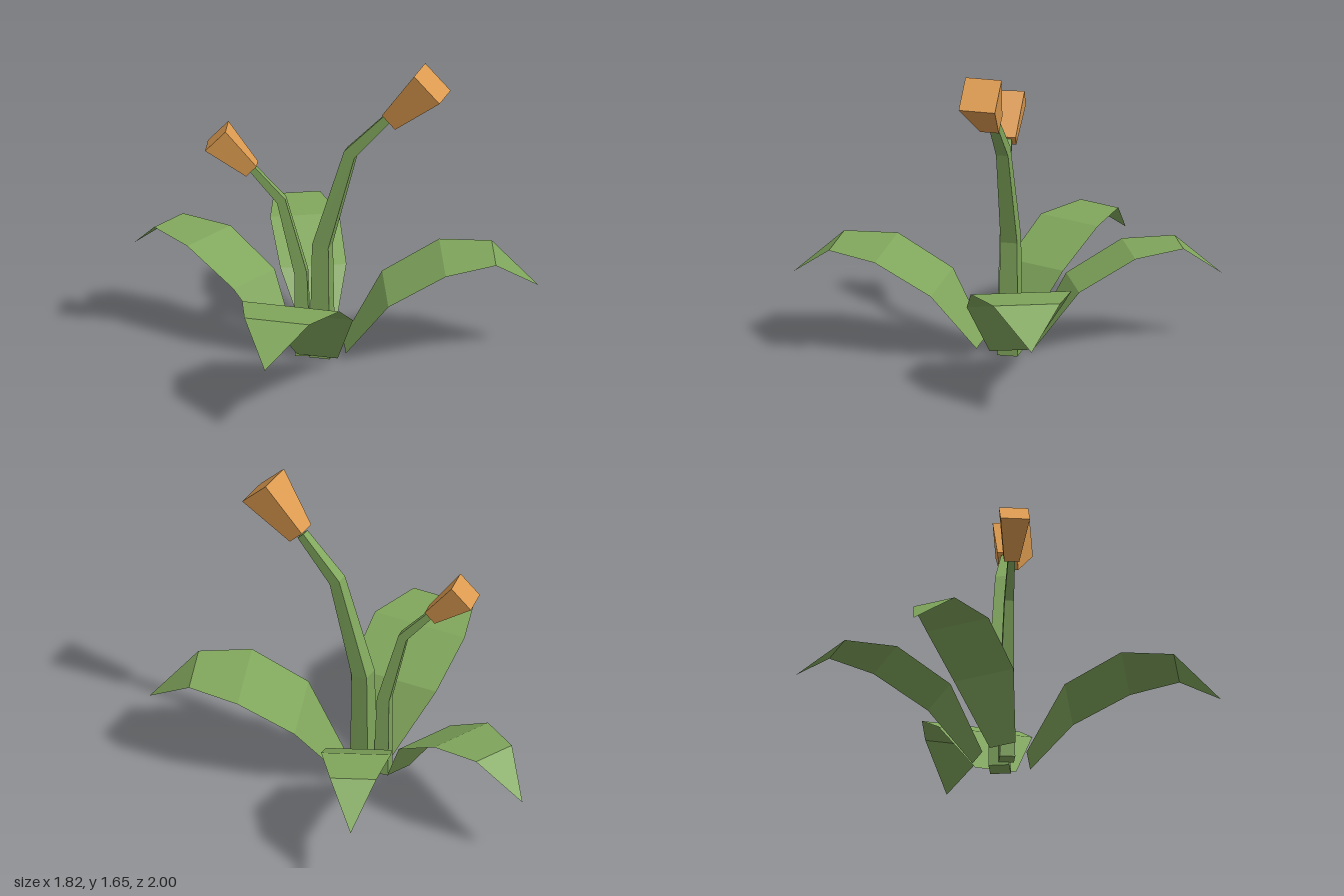
import * as THREE from 'three';

const green = new THREE.MeshStandardMaterial({ color: 0x80a65c, flatShading: true });
green.name = 'leafGreen';
const leafMaterial = green;
leafMaterial.side = THREE.DoubleSide;
const orange = new THREE.MeshStandardMaterial({ color: 0xdd9b50, flatShading: true });
orange.name = 'budOrange';

// Unshared triangles give every face its own flat normal
function facetGeometry(points, faces) {
  const position = faces.flat().flatMap((i) => points[i].toArray());
  const geometry = new THREE.BufferGeometry();
  geometry.setAttribute('position', new THREE.Float32BufferAttribute(position, 3));
  geometry.computeVertexNormals();
  return geometry;
}

// Closed square tube through [x, y, z, width] stations
function squareTube(name, stations, material) {
  const centres = stations.map(([x, y, z]) => new THREE.Vector3(x, y, z));
  const last = centres.length - 1;
  const side = centres[last].clone().sub(centres[0]).setY(0).normalize();
  side.set(side.z, 0, -side.x);
  const points = [];
  const faces = [];
  centres.forEach((centre, i) => {
    const along = new THREE.Vector3();
    if (i > 0) along.add(centre.clone().sub(centres[i - 1]).normalize());
    if (i < last) along.add(centres[i + 1].clone().sub(centre).normalize());
    along.normalize();
    const up = along.clone().cross(side).normalize();
    const half = stations[i][3] / 2;
    for (const [s, u] of [[-1, -1], [1, -1], [1, 1], [-1, 1]]) {
      points.push(centre.clone().addScaledVector(side, s * half).addScaledVector(up, u * half));
    }
    if (i === last) return;
    for (let k = 0; k < 4; k++) {
      const a = i * 4 + k;
      const b = i * 4 + (k + 1) % 4;
      faces.push([a, b, b + 4], [a, b + 4, a + 4]);
    }
  });
  const e = last * 4;
  faces.push([0, 2, 1], [0, 3, 2], [e, e + 1, e + 2], [e, e + 2, e + 3]);
  const mesh = new THREE.Mesh(facetGeometry(points, faces), material);
  mesh.name = name;
  return mesh;
}

// Arching leaf rows: [fraction of length, height, width]
const leafRows = [[0, 0.05, 0.15], [0.21, 0.36, 0.345], [0.505, 0.525, 0.36], [0.77, 0.545, 0.24]];

function leaf(name, base, tip, widthScale) {
  const start = new THREE.Vector3(base[0], 0, base[1]);
  const reach = new THREE.Vector3(tip[0], 0, tip[1]).sub(start);
  const side = new THREE.Vector3(reach.z, 0, -reach.x).normalize();
  const points = [];
  const faces = [];
  leafRows.forEach(([t, y, width], i) => {
    const centre = start.clone().addScaledVector(reach, t).setY(y);
    const half = (width * widthScale) / 2;
    points.push(centre.clone().addScaledVector(side, -half), centre.clone().addScaledVector(side, half));
    const a = i * 2;
    if (i < leafRows.length - 1) faces.push([a, a + 1, a + 3], [a, a + 3, a + 2]);
    else faces.push([a, a + 1, a + 2]);
  });
  points.push(new THREE.Vector3(tip[0], 0.36, tip[1]));
  const mesh = new THREE.Mesh(facetGeometry(points, faces), leafMaterial);
  mesh.name = name;
  return mesh;
}

export function createModel() {
  const plant = new THREE.Group();
  plant.name = 'floweringPlant';

  // Four leaves, the two front ones broader
  plant.add(
    leaf('backLeaf', [0.04, 0], [0.04, -1], 1),
    leaf('backLeftLeaf', [0.225, 0.075], [0.905, -0.655], 1),
    leaf('frontLeftLeaf', [0.21, 0.25], [0.88, 0.995], 1.45),
    leaf('frontRightLeaf', [0.01, 0.23], [-0.91, 0.61], 1.45),
  );

  // Bent stems
  plant.add(
    squareTube('tallStem', [
      [0.14, 0, 0.16, 0.107], [0.145, 0.615, 0.157, 0.088],
      [0.2, 1.14, 0.3, 0.064], [0.275, 1.36, 0.49, 0.046],
    ], green),
    squareTube('shortStem', [
      [0.065, 0.015, 0.095, 0.08], [0.06, 0.47, 0.085, 0.066],
      [0.004, 0.865, 0.0, 0.048], [-0.077, 1.035, -0.128, 0.036],
    ], green),
  );

  // Flaring box-shaped buds
  plant.add(
    squareTube('tallBud', [[0.273, 1.355, 0.508, 0.1], [0.352, 1.58, 0.715, 0.193]], orange),
    squareTube('shortBud', [[-0.077, 1.03, -0.13, 0.078], [-0.175, 1.205, -0.284, 0.152]], orange),
  );
  return plant;
}
